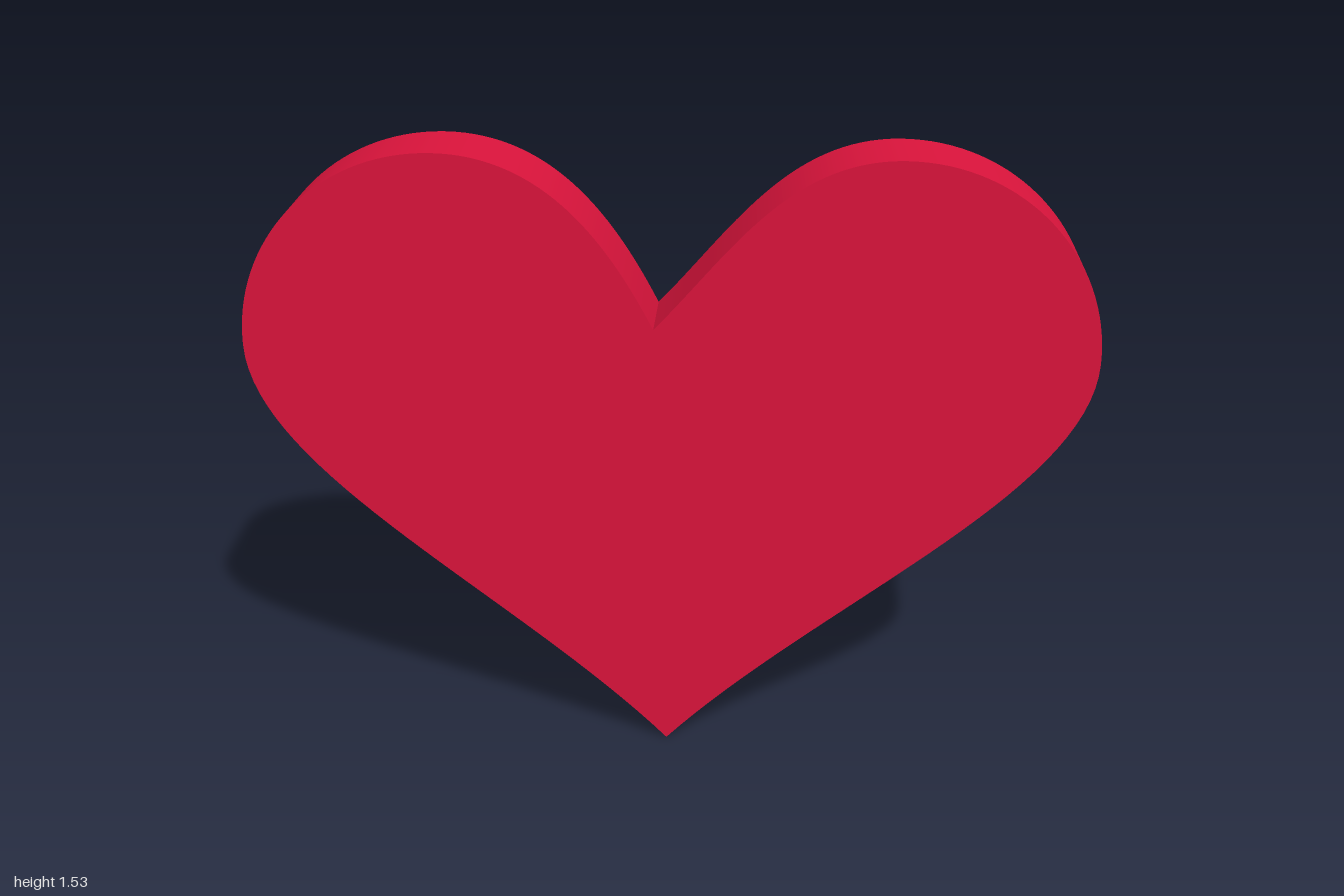
import * as THREE from 'three';
import { toCreasedNormals } from 'three/addons/utils/BufferGeometryUtils.js';

const DEPTH = 0.19;

// Heart outline, counter-clockwise from the bottom tip; the notch sits slightly off centre
function heartShape() {
  const s = new THREE.Shape();
  s.moveTo(0, 0);
  s.bezierCurveTo(0.38, 0.41, 1, 0.73, 1, 1.06);            // lower left flank
  s.bezierCurveTo(1, 1.32, 0.79, 1.53, 0.53, 1.53);         // left lobe
  s.bezierCurveTo(0.27, 1.53, 0.14, 1.3, -0.03, 1.12);      // into the notch
  s.bezierCurveTo(-0.13, 1.32, -0.27, 1.53, -0.53, 1.53);   // out of the notch
  s.bezierCurveTo(-0.79, 1.53, -1, 1.32, -1, 1.06);         // right lobe
  s.bezierCurveTo(-1, 0.73, -0.38, 0.41, 0, 0);             // lower right flank
  return s;
}

export function createModel() {
  const group = new THREE.Group();
  group.name = 'heart';

  // Flat slab with smooth rim and sharp edges
  const slab = new THREE.ExtrudeGeometry(heartShape(), {
    depth: DEPTH, bevelEnabled: false, curveSegments: 32,
  });
  slab.translate(0, 0, -DEPTH / 2);

  const body = new THREE.Mesh(
    toCreasedNormals(slab, Math.PI / 6),
    new THREE.MeshStandardMaterial({ color: 0xdc143c }),
  );
  body.name = 'heartBody';
  group.add(body);
  return group;
}
